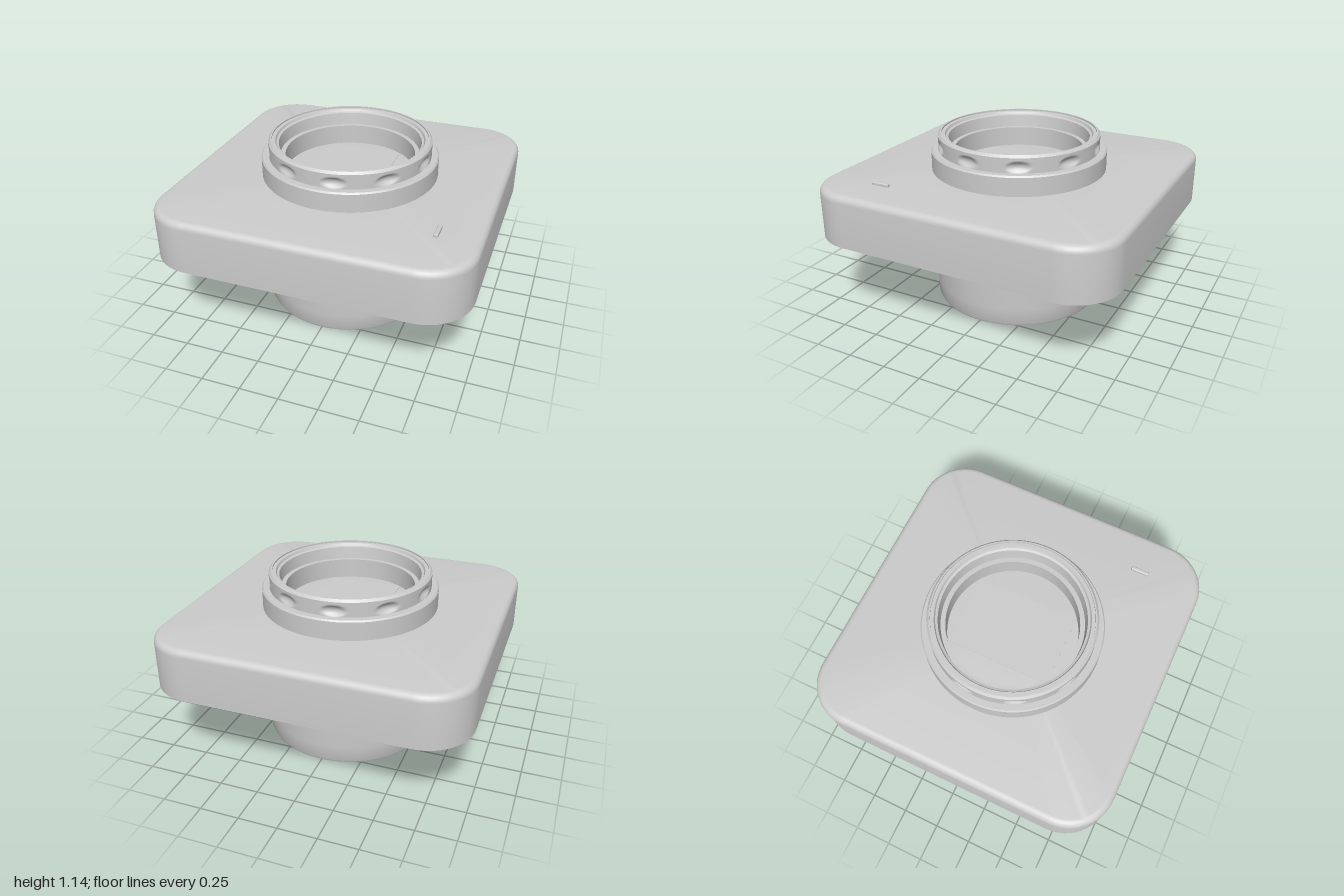
import * as THREE from 'three';
import { toCreasedNormals } from 'three/addons/utils/BufferGeometryUtils.js';
import { RoundedBoxGeometry } from 'three/addons/geometries/RoundedBoxGeometry.js';

const material = new THREE.MeshStandardMaterial({ color: 0xcccccc });
const RING_RADIUS = 0.528;

function lathe(profile, segments) {
  return new THREE.LatheGeometry(profile.map(([r, y]) => new THREE.Vector2(r, y)), segments);
}

// Square plate: a lathe whose columns are spread out to four rounded corners
function plateGeometry() {
  const n = 12, straight = 0.7, bevel = 0.045;
  const profile = [[0, 0.56], [0.3, 0.56], [0.3, 0.9 - bevel]];
  for (let i = 1; i <= 6; i++) {
    const a = (i / 6) * Math.PI / 2;
    profile.push([0.3 - bevel * (1 - Math.cos(a)), 0.9 - bevel * (1 - Math.sin(a))]);
  }
  profile.push([0, 0.9]);
  const columns = 4 * (n + 1);
  const geometry = lathe(profile, columns);
  const pos = geometry.attributes.position;
  for (let i = 0; i <= columns; i++) {
    const c = i % columns;
    const quarter = Math.floor(c / (n + 1));
    const a = (quarter + (c % (n + 1)) / n) * Math.PI / 2;
    const mid = (quarter + 0.5) * Math.PI / 2;
    profile.forEach(([r, y], j) => {
      const s = r > 0 ? straight * Math.SQRT2 : 0;
      pos.setXYZ(i * profile.length + j,
        r * Math.sin(a) + s * Math.sin(mid), y, r * Math.cos(a) + s * Math.cos(mid));
    });
  }
  return toCreasedNormals(geometry, 0.5);
}

// Outer wall of the ring, pressed in by ten shallow finger dimples
function gripGeometry() {
  const geometry = new THREE.CylinderGeometry(RING_RADIUS, RING_RADIUS, 0.1, 240, 14, true);
  geometry.translate(0, 1.075, 0);
  const pos = geometry.attributes.position;
  const pitch = Math.PI / 5, phase = THREE.MathUtils.degToRad(8.7);
  for (let i = 0; i < pos.count; i++) {
    const angle = Math.atan2(pos.getX(i), pos.getZ(i)) - phase;
    const off = (angle - pitch * Math.round(angle / pitch)) / 0.15;
    const high = (pos.getY(i) - 1.067) / 0.036;
    const dent = 0.022 * Math.max(0, 1 - off * off - high * high);
    const k = 1 - dent / RING_RADIUS;
    pos.setX(i, pos.getX(i) * k);
    pos.setZ(i, pos.getZ(i) * k);
  }
  geometry.computeVertexNormals();
  return geometry;
}

export function createModel() {
  const model = new THREE.Group();
  const add = (name, geometry, x = 0, y = 0, z = 0) => {
    const mesh = new THREE.Mesh(geometry, material);
    mesh.name = name;
    mesh.position.set(x, y, z);
    model.add(mesh);
  };

  add('plate', plateGeometry());

  // Barrel: stepped lower bore, tapered outside, upper bore down to the plate
  add('barrel', toCreasedNormals(lathe([
    [0.42, 0.56], [0.42, 0.18], [0.5, 0.18], [0.505, 0.07], [0.535, 0.07],
    [0.545, 0], [0.555, 0], [0.562, 0.015], [0.568, 0.12], [0.573, 0.28], [0.575, 0.45],
    [0.575, 1.02], [0.567, 1.03], [0.42, 1.03], [0.42, 0.9],
  ], 96), 0.5));

  add('ringGrip', gripGeometry());

  // Chamfered rim and stepped mouth of the ring
  add('ringRim', toCreasedNormals(lathe([
    [RING_RADIUS, 1.125], [0.514, 1.14], [0.505, 1.14], [0.505, 1.13],
    [0.482, 1.13], [0.475, 1.115], [0.46, 1.11], [0.45, 1.03],
  ], 96), 0.5));

  // Rectangular window, flush with both faces of the plate
  add('window', new THREE.BoxGeometry(0.48, 0.346, 0.68), 0, 0.73, 0);

  // Small raised alignment mark
  add('alignmentMark', new RoundedBoxGeometry(0.026, 0.04, 0.12, 3, 0.008), 0.733, 0.9, 0.58);

  return model;
}
